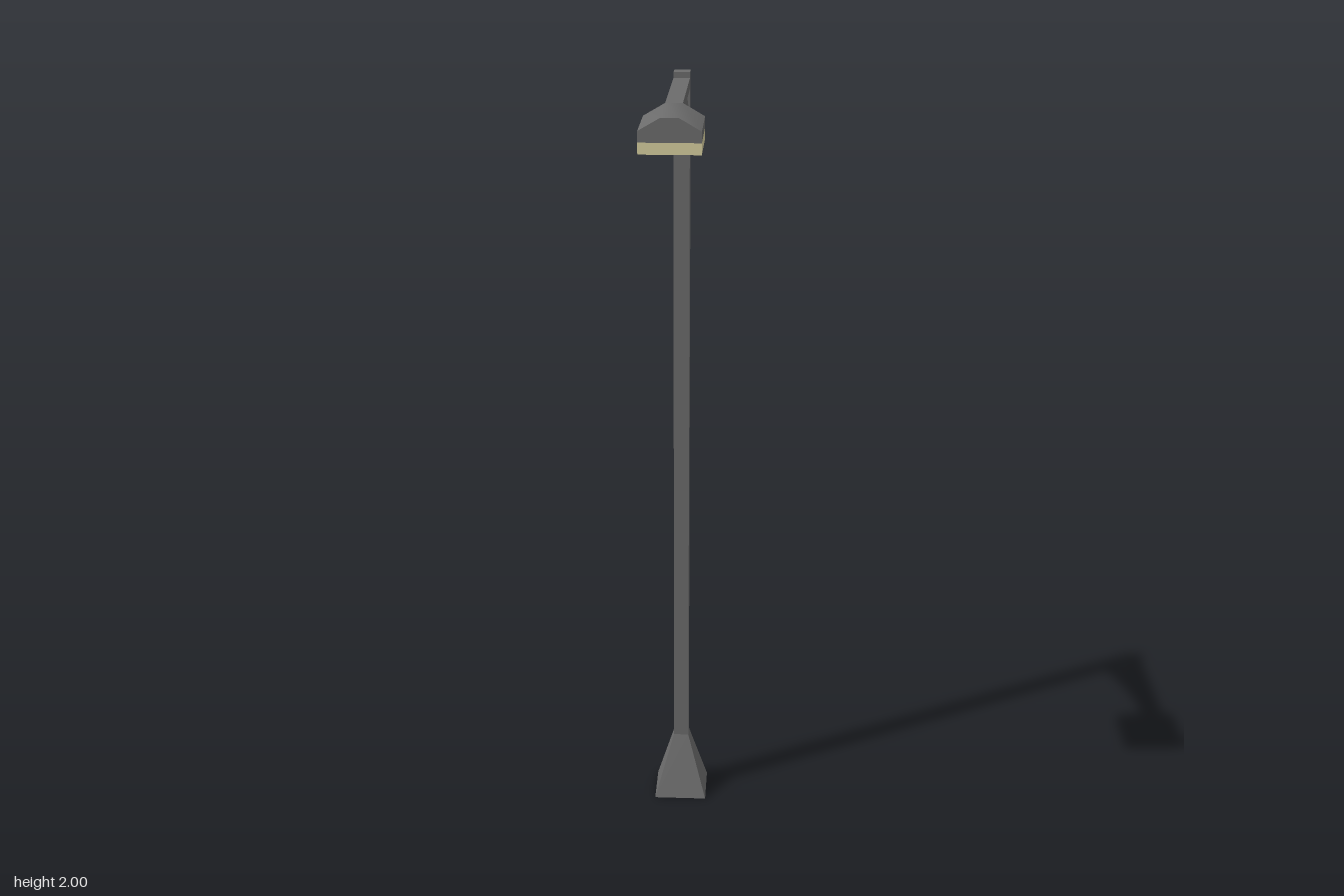
import * as THREE from 'three';
import { toCreasedNormals } from 'three/addons/utils/BufferGeometryUtils.js';

const metal = new THREE.MeshStandardMaterial({ color: 0x6c6c6c });
const glow = new THREE.MeshStandardMaterial({ color: 0xd8d0a0 });

export function createModel() {
  const group = new THREE.Group();
  const poleZ = -0.24, half = 0.02;

  function add(name, geometry, material, x = 0, y = 0, z = 0) {
    const mesh = new THREE.Mesh(geometry, material);
    mesh.name = name;
    mesh.position.set(x, y, z);
    group.add(mesh);
  }

  // box given by its y and z ranges, centred on x
  function addBox(name, material, halfWidth, y0, y1, z0, z1) {
    add(name, new THREE.BoxGeometry(halfWidth * 2, y1 - y0, z1 - z0), material, 0, (y0 + y1) / 2, (z0 + z1) / 2);
  }

  // flared square foot
  const foot = new THREE.CylinderGeometry(half * Math.SQRT2, 0.07 * Math.SQRT2, 0.175, 4);
  foot.rotateY(Math.PI / 4);
  add('foot', toCreasedNormals(foot, 0.5), metal, 0, 0.0875, poleZ);

  addBox('pole', metal, half, 0.175, 2, poleZ - half, poleZ + half);
  addBox('arm', metal, half, 1.96, 1.986, poleZ + half, 0.126);

  // curved brace, drawn in the z-y plane and extruded across x
  const brace = new THREE.Shape();
  brace.moveTo(-0.22, 1.85);
  brace.quadraticCurveTo(-0.1, 1.935, 0.126, 1.96);
  brace.lineTo(-0.09, 1.96);
  brace.quadraticCurveTo(-0.15, 1.93, -0.22, 1.885);
  const braceGeometry = new THREE.ExtrudeGeometry(brace, { depth: half * 2, bevelEnabled: false, curveSegments: 5 });
  braceGeometry.rotateY(-Math.PI / 2);
  add('brace', toCreasedNormals(braceGeometry, 0.6), metal, half);

  // lamp hood with sloped shoulders
  const hood = new THREE.Shape([
    [-0.07, 1.932], [0.07, 1.932], [0.07, 1.957], [0.02, 1.986], [-0.02, 1.986], [-0.07, 1.957],
  ].map(([x, y]) => new THREE.Vector2(x, y)));
  const hoodGeometry = new THREE.ExtrudeGeometry(hood, { depth: 0.184, bevelEnabled: false });
  add('lampHood', toCreasedNormals(hoodGeometry, 0.8), metal, 0, 0, 0.126);

  addBox('lampLens', glow, 0.07, 1.906, 1.932, 0.126, 0.31);

  return group;
}
